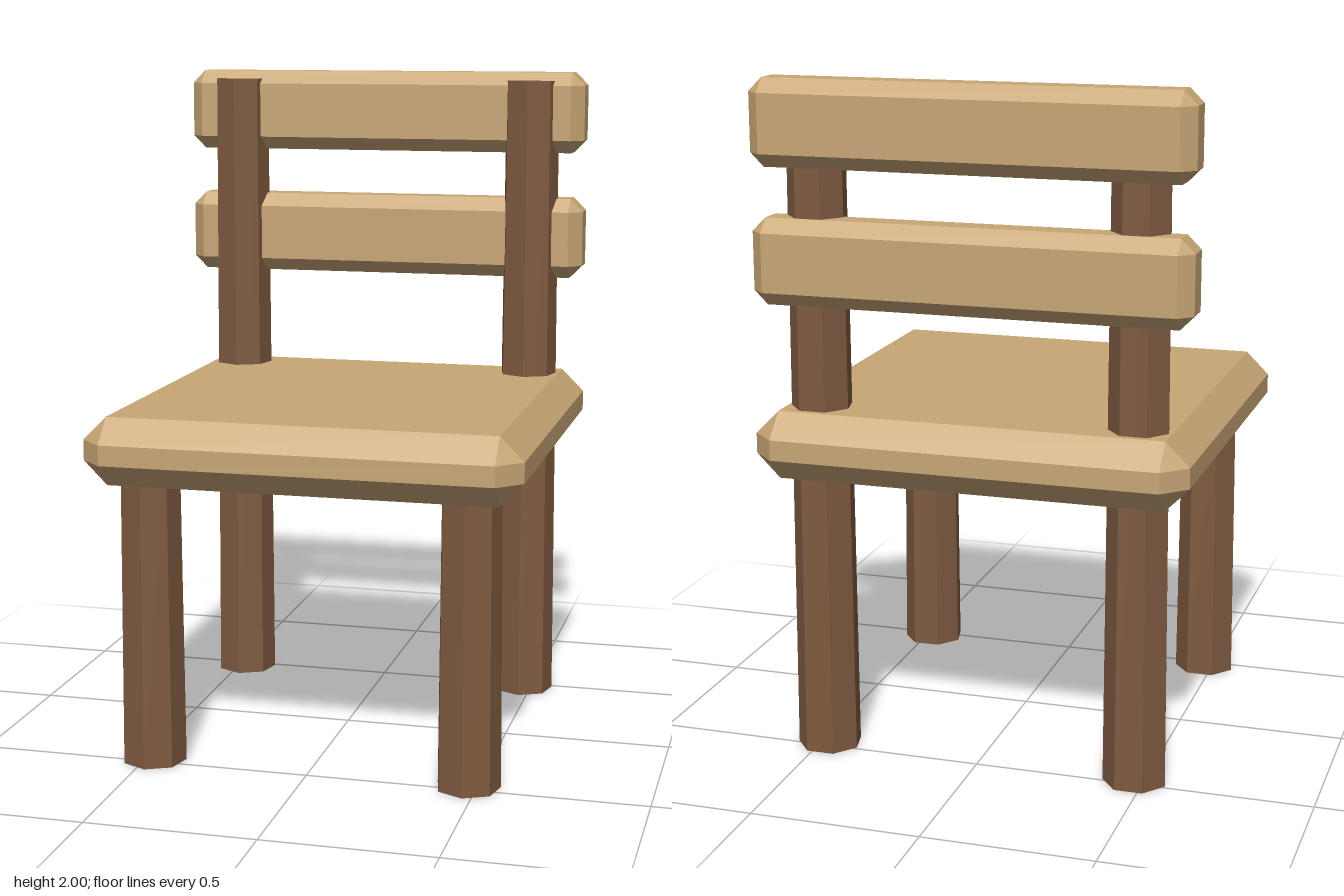
import * as THREE from 'three';
import { ConvexGeometry } from 'three/addons/geometries/ConvexGeometry.js';

const lightWood = new THREE.MeshStandardMaterial({ name: 'lightWood', color: 0xc8a676, flatShading: true });
const darkWood = new THREE.MeshStandardMaterial({ name: 'darkWood', color: 0x7f5b40, flatShading: true });

// Box with every edge chamfered by b and a small triangle on each corner
function chamferedBox(w, h, d, b) {
  const points = [];
  for (const sx of [-1, 1]) for (const sy of [-1, 1]) for (const sz of [-1, 1]) {
    const x = w / 2, y = h / 2, z = d / 2;
    points.push(
      new THREE.Vector3(sx * x, sy * (y - b), sz * (z - b)),
      new THREE.Vector3(sx * (x - b), sy * y, sz * (z - b)),
      new THREE.Vector3(sx * (x - b), sy * (y - b), sz * z)
    );
  }
  return new ConvexGeometry(points);
}

export function createModel() {
  const chair = new THREE.Group();
  chair.name = 'chair';

  const add = (name, geometry, material, x, y, z) => {
    const mesh = new THREE.Mesh(geometry, material);
    mesh.name = name;
    mesh.position.set(x, y, z);
    chair.add(mesh);
  };

  // Seat slab
  add('seat', chamferedBox(1.28, 0.2, 1.28, 0.07), lightWood, 0, 0.95, 0);

  // Two back slats
  add('lowerBackSlat', chamferedBox(1.28, 0.25, 0.155, 0.04), lightWood, 0, 1.482, -0.515);
  add('upperBackSlat', chamferedBox(1.28, 0.25, 0.155, 0.04), lightWood, 0, 1.875, -0.515);

  // Tapered seven-sided legs; the back pair continue up as posts
  const frontLeg = new THREE.CylinderGeometry(0.088, 0.095, 0.95, 7);
  const backPost = new THREE.CylinderGeometry(0.085, 0.095, 1.975, 7);
  for (const [side, s] of [['left', 1], ['right', -1]]) {
    add(side + 'FrontLeg', frontLeg, darkWood, s * 0.474, 0.475, 0.475);
    add(side + 'BackPost', backPost, darkWood, s * 0.474, 0.9875, -0.47);
  }

  return chair;
}
